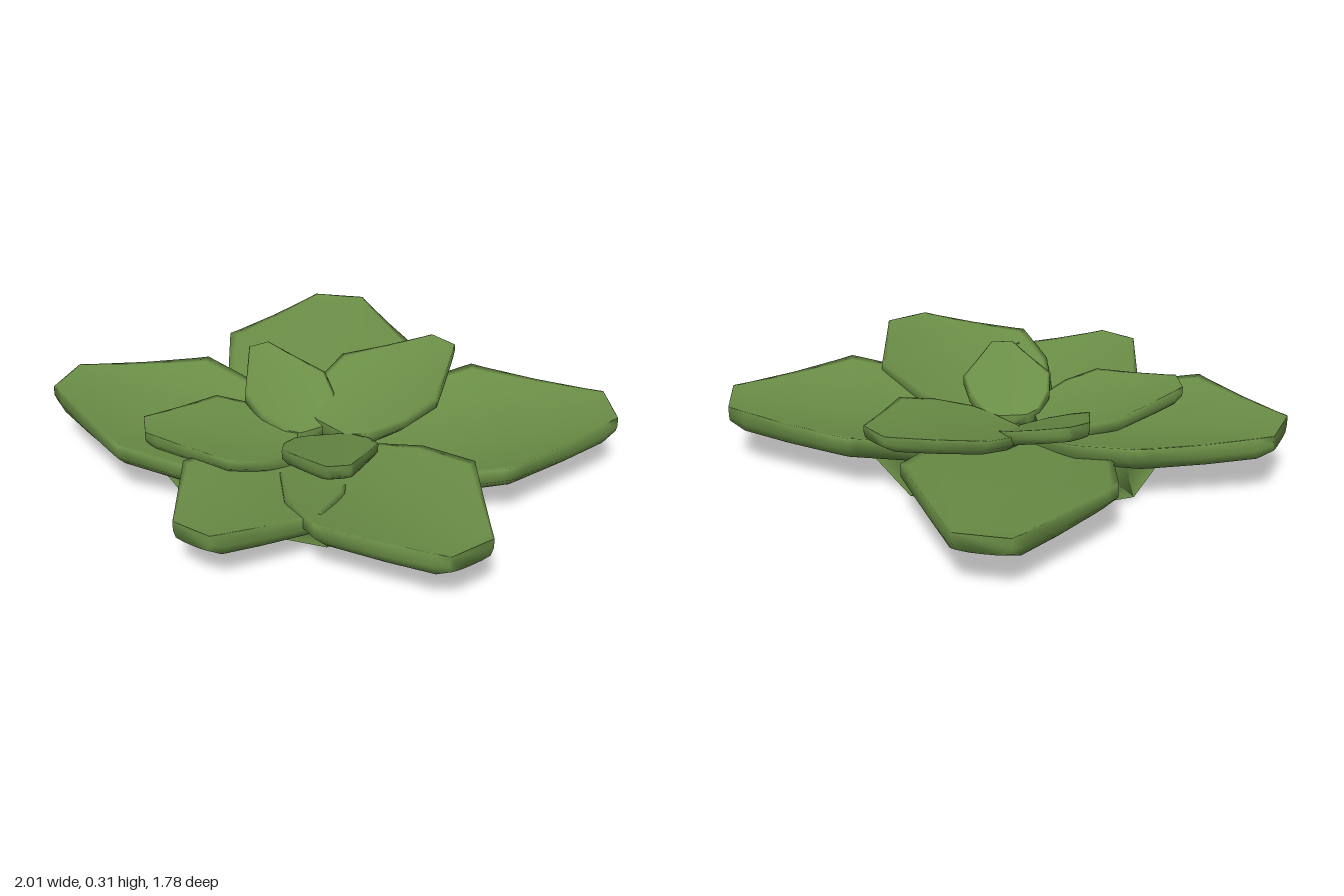
import * as THREE from 'three';
import { mergeVertices } from 'three/addons/utils/BufferGeometryUtils.js';

// Half outlines as [position along the leaf, half width], relative to leaf length
const OUTER = [[0, 0.1], [0.18, 0.21], [0.36, 0.315], [0.57, 0.355], [0.6, 0.36], [0.64, 0.333], [0.8, 0.228], [0.95, 0.128], [1, 0.095]];
const INNER = [[0, 0.13], [0.06, 0.25], [0.27, 0.37], [0.5, 0.41], [0.75, 0.255], [0.94, 0.137], [1, 0.1]];

// Cross-section: [side, depth below the upper surface as a share of thickness]
const SECTION = [
  [-1, 0], [-0.93, 0], [-0.5, 0], [0, 0], [0.5, 0], [0.93, 0], [1, 0],
  [1, 0.6], [0.87, 1], [0.45, 1.05], [0, 1.05], [-0.45, 1.05], [-0.87, 1], [-1, 0.6],
];

// Cupped, thick leaf growing along +z; yb and yt are the top heights at base and tip
function leafGeometry(outline, length, width, yb, yt, thick) {
  const pos = [], index = [], n = SECTION.length, last = (outline.length - 1) * n;
  for (const [u, w] of outline) {
    const t = u < 1 ? thick : thick * 0.72; // underside bevelled at the tip
    for (const [s, d] of SECTION) {
      const x = s * w * length * width;
      pos.push(x, yb + (yt - yb) * u + 0.45 * x * x - d * t, u * length);
    }
  }
  for (let i = 0; i < outline.length - 1; i++) {
    for (let j = 0; j < n; j++) {
      const k = (j + 1) % n;
      const a = i * n + j, b = i * n + k, c = a + n, d = b + n;
      index.push(a, c, b, b, c, d);
    }
  }
  // Base and tip caps
  for (let j = 1; j < n - 1; j++) {
    index.push(0, j, j + 1, last, last + j + 1, last + j);
  }
  const geo = new THREE.BufferGeometry();
  geo.setAttribute('position', new THREE.Float32BufferAttribute(pos, 3));
  geo.setIndex(index);
  geo.computeVertexNormals();
  return geo;
}

// Low eight-sided base with shading that runs smoothly round its rim
function baseGeometry() {
  const geo = new THREE.CylinderGeometry(0.37, 0.552, 0.06, 8, 1, false, 0.185);
  geo.scale(1, 1, 0.88);
  geo.deleteAttribute('normal');
  geo.deleteAttribute('uv');
  const merged = mergeVertices(geo, 1e-4);
  merged.computeVertexNormals();
  return merged;
}

export function createModel() {
  const group = new THREE.Group();
  group.name = 'succulent';
  const green = new THREE.MeshStandardMaterial({ color: 0x6b8f47 });

  function addLeaf(name, outline, thick, [x0, z0, x1, z1, yb, yt, width]) {
    const dx = x1 - x0, dz = z1 - z0;
    const leaf = new THREE.Mesh(
      leafGeometry(outline, Math.hypot(dx, dz), width, yb, yt, thick), green);
    leaf.name = name;
    leaf.position.set(x0, 0, z0);
    leaf.rotation.y = Math.atan2(dx, dz);
    group.add(leaf);
  }

  // Each leaf: base x, z, tip x, z, base height, tip height, width factor
  const outer = {
    outerLeafBack: [-0.12, 0.13, -0.095, -0.89, 0.085, 0.22, 0.99],
    outerLeafLeft: [-0.06, 0.17, 0.98, -0.09, 0.084, 0.24, 0.95],
    outerLeafRight: [-0.01, 0.225, -0.98, -0.02, 0.085, 0.25, 0.97],
    outerLeafFrontLeft: [-0.1, 0.14, 0.545, 0.83, 0.115, 0.225, 0.96],
    outerLeafFrontRight: [0.01, 0.14, -0.33, 0.825, 0.11, 0.21, 1.03],
  };
  for (const [name, leaf] of Object.entries(outer)) addLeaf(name, OUTER, 0.08, leaf);

  const inner = {
    innerLeafBackLeft: [0, 0.06, 0.365, -0.4, 0.16, 0.3, 1],
    innerLeafBackRight: [-0.06, 0.06, -0.31, -0.25, 0.145, 0.31, 1.02],
    innerLeafRight: [-0.1, 0.14, -0.61, 0.295, 0.145, 0.257, 1.04],
    innerLeafFront: [-0.02, 0.11, 0.09, 0.505, 0.155, 0.28, 0.98],
  };
  for (const [name, leaf] of Object.entries(inner)) addLeaf(name, INNER, 0.055, leaf);

  const base = new THREE.Mesh(baseGeometry(), green);
  base.name = 'base';
  base.position.set(-0.04, 0.04, 0.105);
  group.add(base);

  return group;
}
